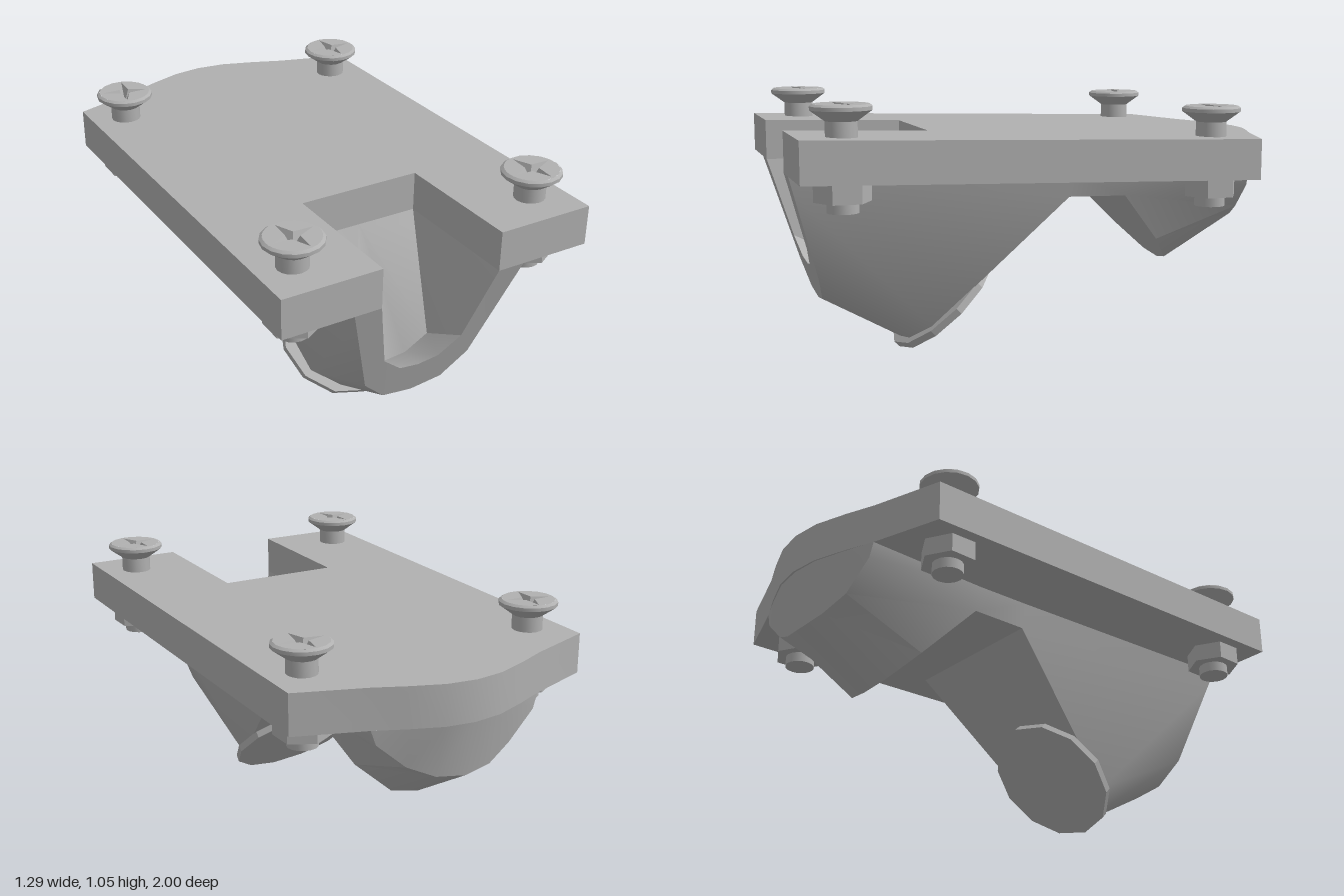
import * as THREE from 'three';
import { toCreasedNormals } from 'three/addons/utils/BufferGeometryUtils.js';

const TILT = 0.0275, THICK = 0.16;
const plateTop = (z) => 0.9025 + TILT * z;
const plateBottom = (z) => plateTop(z) - THICK;

// Collects strips of quads for the +x half and mirrors them to the -x half
function halfBuilder() {
  const pos = [];
  const tri = (a, b, c) => {
    const ab = new THREE.Vector3(...b).sub(new THREE.Vector3(...a));
    const ac = new THREE.Vector3(...c).sub(new THREE.Vector3(...a));
    if (ab.cross(ac).length() < 1e-7) return;
    pos.push(...a, ...b, ...c);
    for (const p of [a, c, b]) pos.push(-p[0], p[1], p[2]);
  };
  const strip = (p, q) => {
    for (let i = 0; i < p.length - 1; i++) {
      tri(p[i], p[i + 1], q[i + 1]);
      tri(p[i], q[i + 1], q[i]);
    }
  };
  const build = () => {
    const g = new THREE.BufferGeometry();
    g.setAttribute('position', new THREE.Float32BufferAttribute(pos, 3));
    return toCreasedNormals(g, 0.7);
  };
  return { strip, build };
}

// Tilted plate with a front notch and a bulging back edge
function plateGeometry() {
  const half = [[0, 0.44], [0.25, 0.44], [0.25, 1], [0.645, 1], [0.645, -0.795],
    [0.37, -0.887], [0.25, -0.938], [0.12, -0.985], [0, -1]];
  const left = half.slice(1, -1).reverse().map(([x, z]) => [-x, z]);
  const shape = new THREE.Shape([...half, ...left].map(([x, z]) => new THREE.Vector2(x, -z)));
  const g = new THREE.ExtrudeGeometry(shape, { depth: THICK, bevelEnabled: false });
  g.rotateX(-Math.PI / 2);
  const p = g.attributes.position;
  for (let i = 0; i < p.count; i++) p.setY(i, p.getY(i) + plateBottom(p.getZ(i)));
  return toCreasedNormals(g, 0.6);
}

// U-shaped body: each section runs from the plate down the wall to the keel
function bodyGeometry() {
  const front = [[0.36, 0.77, 1], [0.338, 0.7, 0.979], [0.23, 0.35, 0.875], [0.13, 0.25, 0.846], [0, 0.23, 0.84]];
  const lip = [[0.25, 0.77, 1], [0.232, 0.7, 0.979], [0.17, 0.46, 0.908], [0.085, 0.385, 0.886], [0, 0.37, 0.88]];
  const pocket = [[0.25, 0.755, 0.44], [0.239, 0.7, 0.473], [0.17, 0.34, 0.69], [0.085, 0.265, 0.668], [0, 0.25, 0.66]];
  const cutFront = [[0.345, plateBottom(-0.12), -0.12], [0.32, 0.64, -0.12], [0.2, 0.12, 0.417], [0.1, 0.055, 0.485], [0, 0.04, 0.5]];
  const cutRear = [[0.345, plateBottom(-0.36), -0.36], [0.32, 0.635, -0.36], [0.22, 0.43, -0.545], [0.11, 0.33, -0.633], [0, 0.31, -0.65]];
  const rear = [[0.37, 0.718, -0.887], [0.35, 0.66, -0.89], [0.23, 0.555, -0.905], [0.12, 0.505, -0.935], [0, 0.49, -0.95]];
  const rearTop = [[0.37, 0.718, -0.887], [0.35, 0.718, -0.896], [0.24, 0.718, -0.938], [0.12, 0.718, -0.98], [0, 0.718, -0.993]];
  const same = (p, n) => Array(n).fill(p);
  const roofFront = [0, 0.64, -0.12], roofRear = [0, 0.635, -0.36];

  const { strip, build } = halfBuilder();
  strip(front, cutFront);                               // front lug shell
  strip(lip, front);                                    // front rim
  strip(pocket, lip);                                   // pocket floor and sides
  strip(same([0, 0.755, 0.44], 5), pocket);             // pocket back wall
  strip(cutFront.slice(1), same(roofFront, 4));         // sloped cut, front lug
  strip(cutFront.slice(0, 2), cutRear.slice(0, 2));     // bridge walls
  strip([cutFront[1], roofFront], [cutRear[1], roofRear]); // bridge underside
  strip(same(roofRear, 4), cutRear.slice(1));           // sloped cut, rear lug
  strip(cutRear, rear);                                 // rear lug shell
  strip(rear, rearTop);                                 // rounded back wall
  return build();
}

// Star outline of the cross recess
function starPoints() {
  return Array.from({ length: 8 }, (_, i) => {
    const r = i % 2 ? 0.026 : 0.093, a = (i * Math.PI) / 4;
    return new THREE.Vector2(r * Math.cos(a), r * Math.sin(a));
  });
}

function headTopGeometry() {
  const disc = Array.from({ length: 16 }, (_, i) =>
    new THREE.Vector2(0.104 * Math.sin(i * Math.PI / 8), 0.104 * Math.cos(i * Math.PI / 8)));
  const shape = new THREE.Shape(disc);
  shape.holes.push(new THREE.Path(starPoints()));
  return new THREE.ShapeGeometry(shape).rotateX(-Math.PI / 2);
}

// Faces sinking from the star outline to a central point
function recessGeometry() {
  const s = starPoints(), pos = [];
  s.forEach((a, i) => {
    const b = s[(i + 1) % 8];
    pos.push(a.x, 0, -a.y, b.x, 0, -b.y, 0, -0.05, 0);
  });
  const g = new THREE.BufferGeometry();
  g.setAttribute('position', new THREE.Float32BufferAttribute(pos, 3));
  g.computeVertexNormals();
  return g;
}

export function createModel() {
  const model = new THREE.Group();
  model.name = 'bracket';
  const grey = new THREE.MeshStandardMaterial({ color: 0xb0b0b0 });
  grey.name = 'grey';
  const add = (parent, name, geometry, y = 0) => {
    const m = new THREE.Mesh(geometry, grey);
    m.name = name;
    m.position.y = y;
    parent.add(m);
    return m;
  };

  add(model, 'plate', plateGeometry());
  add(model, 'body', bodyGeometry());

  // Twelve-sided disc on the sloped cut
  const pad = add(model, 'disc', new THREE.CylinderGeometry(0.268, 0.268, 0.03, 12));
  pad.geometry = toCreasedNormals(pad.geometry, 0.3);
  pad.position.set(0, 0.193, 0.325);
  pad.rotation.x = 0.757;

  // Bolts: origin on the plate's top surface
  const profile = [[0, -0.276], [0.06, -0.276], [0.06, 0.058], [0.115, 0.098], [0.115, 0.112], [0.104, 0.12]];
  const boltGeo = toCreasedNormals(new THREE.LatheGeometry(profile.map(([x, y]) => new THREE.Vector2(x, y)), 16), 0.5);
  const topGeo = headTopGeometry();
  const starGeo = recessGeometry();
  const nutGeo = toCreasedNormals(new THREE.CylinderGeometry(0.108, 0.108, 0.09, 6), 0.3);
  const bolts = [[-0.505, -0.645, -0.25], [0.505, -0.645, 0.03], [-0.505, 0.825, 0.2], [0.505, 0.825, 0.2]];
  for (const [x, z, turn] of bolts) {
    const bolt = new THREE.Group();
    bolt.name = 'bolt';
    bolt.position.set(x, plateTop(z), z);
    add(bolt, 'shank', boltGeo);
    add(bolt, 'headTop', topGeo, 0.12).rotation.y = turn;
    add(bolt, 'crossRecess', starGeo, 0.12).rotation.y = turn;
    add(bolt, 'nut', nutGeo, -0.19);
    model.add(bolt);
  }
  return model;
}
